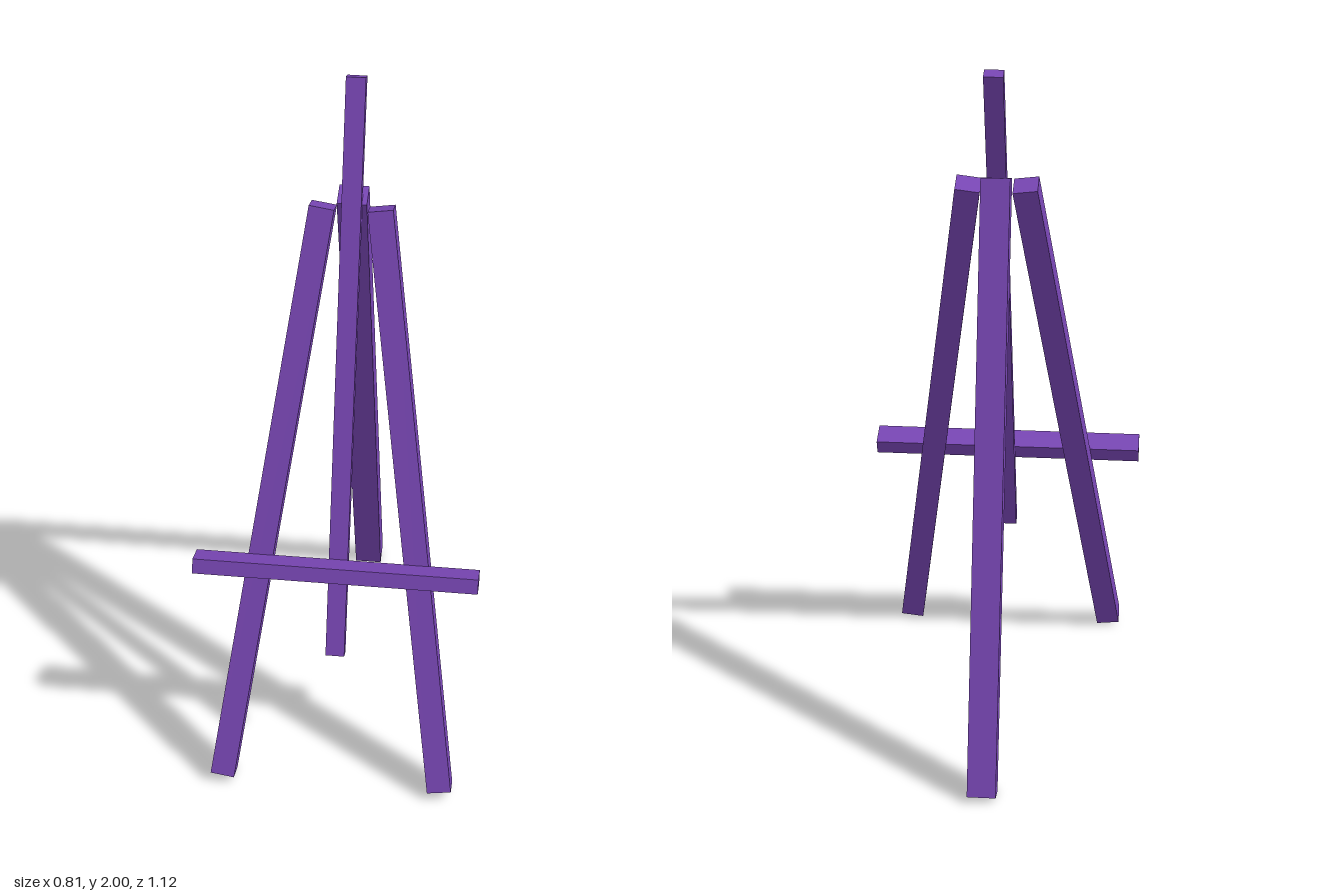
import * as THREE from 'three';

const wood = new THREE.MeshStandardMaterial({ color: 0x7846b4, flatShading: true });

// Square-cut bar whose centreline runs from the bottom point to the top point
function bar(name, bottom, top, width, depth) {
  const a = new THREE.Vector3(...bottom);
  const b = new THREE.Vector3(...top);
  const d = b.clone().sub(a);
  const mesh = new THREE.Mesh(new THREE.BoxGeometry(width, d.length(), depth), wood);
  mesh.name = name;
  mesh.position.copy(a).add(b).multiplyScalar(0.5);
  // lean in z first, then splay in x
  mesh.rotation.set(Math.atan2(d.z, d.y), 0, -Math.asin(d.x / d.length()));
  return mesh;
}

export function createModel() {
  const easel = new THREE.Group();
  easel.name = 'easel';

  // Splayed pair of front legs
  for (const [name, s] of [['leftFrontLeg', 1], ['rightFrontLeg', -1]]) {
    easel.add(bar(name, [s * 0.32, 0.02, 0.527], [s * 0.08, 1.655, -0.013], 0.07, 0.07));
  }

  // Single rear leg
  easel.add(bar('backLeg', [0, 0.01, -0.527], [0, 1.68, -0.034], 0.082, 0.07));

  // Central mast, parallel to the front legs
  easel.add(bar('mast', [0, 0.412, 0.412], [0, 1.995, -0.117], 0.054, 0.036));

  // Ledge resting square to the front legs
  const ledge = new THREE.Mesh(new THREE.BoxGeometry(0.808, 0.044, 0.075), wood);
  ledge.name = 'ledge';
  ledge.position.set(-0.002, 0.692, 0.378);
  ledge.rotation.x = Math.atan2(-0.54, 1.635);
  easel.add(ledge);

  return easel;
}
